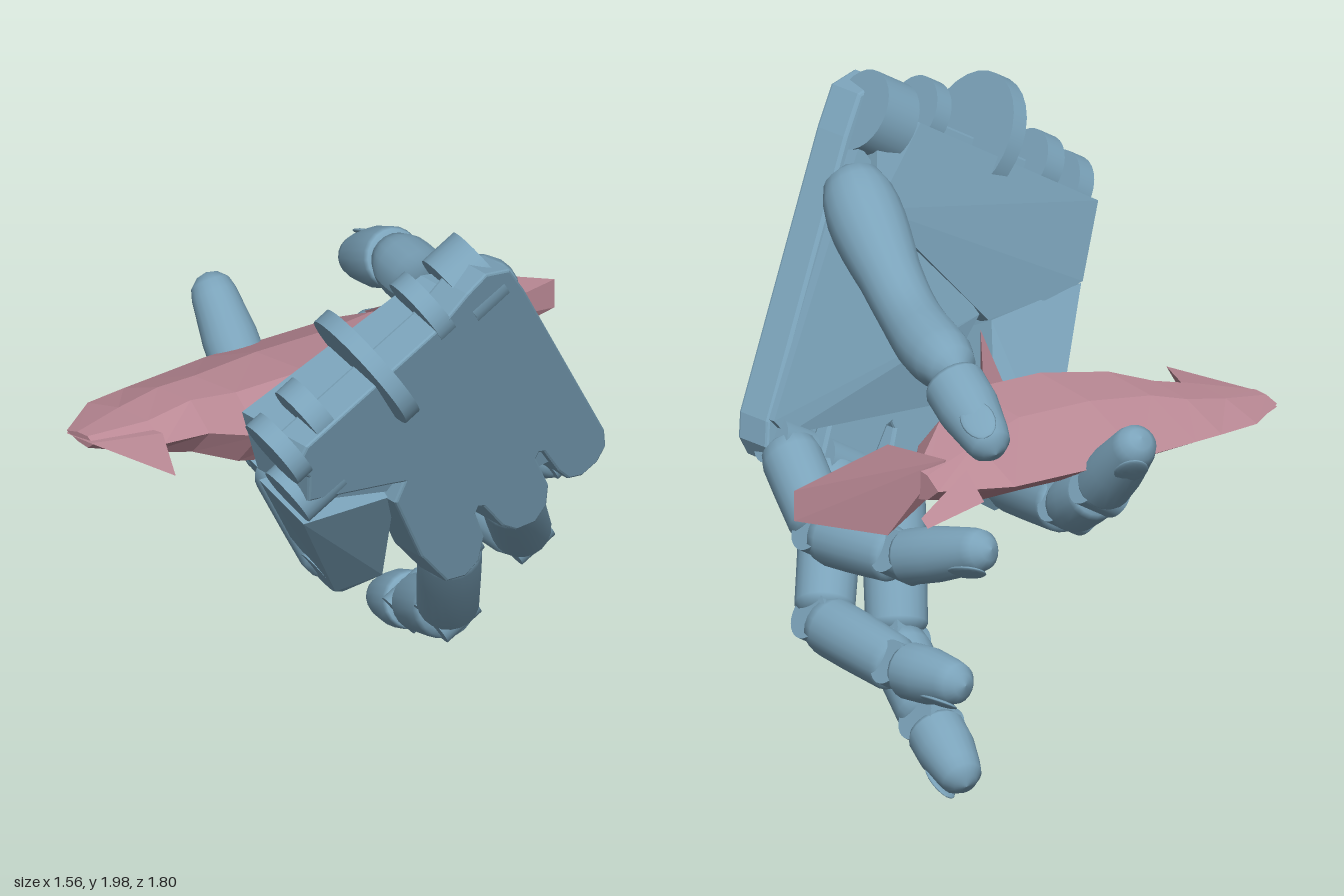
import * as THREE from 'three';
import { ConvexGeometry } from 'three/addons/geometries/ConvexGeometry.js';

const blue = new THREE.MeshStandardMaterial({ color: 0x7ba3ba });
const blueFlat = new THREE.MeshStandardMaterial({ color: 0x7ba3ba, flatShading: true });
const pink = new THREE.MeshStandardMaterial({ color: 0xb98894, flatShading: true, side: THREE.DoubleSide });
const V = (p) => new THREE.Vector3(...p);

// The back of the hand lies in a tilted plane: x as a function of z and y
const planeX = (z, y) => 0.274 + 0.25 * y - 0.06 * z;
const ACROSS = V([-0.18, -0.53, 0.85]).normalize();

function add(parent, name, geometry, material = blue) {
  const mesh = new THREE.Mesh(geometry, material);
  mesh.name = name;
  parent.add(mesh);
  return mesh;
}

function hull(parent, name, points, material = blueFlat) {
  return add(parent, name, new ConvexGeometry(points.map(V)), material);
}

// Disc or roller whose axis runs across the hand
function roller(parent, name, center, r, width) {
  const m = add(parent, name, new THREE.CylinderGeometry(r, r, width, 28));
  m.position.copy(V(center));
  m.quaternion.setFromUnitVectors(new THREE.Vector3(0, 1, 0), ACROSS);
}

// Rounded bone from a to b; tip = true makes a fingertip with a nail
function bone(parent, name, a, b, r0, r1, side = ACROSS, tip = false) {
  const A = V(a), dir = V(b).sub(A), L = dir.length();
  dir.normalize();
  const z = side.clone().cross(dir).normalize();
  const x = dir.clone().cross(z);
  const g = new THREE.Group();
  g.name = name;
  g.position.copy(A);
  g.quaternion.setFromRotationMatrix(new THREE.Matrix4().makeBasis(x, dir, z));
  parent.add(g);
  const e = tip ? r1 : r1 * 0.5, s = tip ? 0.02 : r0 * 0.5;
  const profile = [[0, -s], [r0 * 0.6, -s * 0.85], [r0 * 0.92, -s * 0.3], [r0, s * 0.5],
    [r0 * 0.96 + r1 * 0.04, L * 0.4], [r1, L - e * 0.6], [r1 * 0.86, L - e * 0.1],
    [r1 * 0.5, L + e * 0.25], [0, L + e * 0.4]];
  add(g, name + 'Shell', new THREE.LatheGeometry(profile.map((p) => new THREE.Vector2(...p)), 20));
  if (tip) {
    const nail = add(g, name + 'Nail', new THREE.SphereGeometry(1, 16, 10));
    nail.scale.set(r1 * 0.7, r1, 0.01);
    nail.position.set(0, L - r1 * 0.9, r1 * 0.97);
  }
}

// Finger: three bones joined by hinge rollers
function finger(parent, name, pts, r) {
  const g = new THREE.Group();
  g.name = name;
  parent.add(g);
  const radii = [r, r * 0.97, r * 0.92, r * 0.75];
  for (let i = 0; i < 3; i++) {
    const a = V(pts[i]), b = V(pts[i + 1]);
    const gap = b.clone().sub(a).normalize().multiplyScalar(0.03);
    bone(g, name + ['Base', 'Middle', 'Tip'][i], a.clone().add(gap).toArray(),
      i < 2 ? b.clone().sub(gap).toArray() : pts[3], radii[i], radii[i + 1], ACROSS, i === 2);
    roller(g, name + 'Hinge', pts[i], radii[i] * 0.8, r * 1.4);
  }
}

function buildPalm(root) {
  const palm = new THREE.Group();
  palm.name = 'palm';
  root.add(palm);

  // Back plate, outlined as (z, y), with rounded lobes for the knuckles
  const outline = [[0.25, 1.88], [0.19, 1.93], [0.1, 1.91], [0.02, 1.8], [-0.46, 1.04], [-0.48, 0.97],
    [-0.46, 0.92], [-0.41, 0.89], [-0.36, 0.9], [-0.31, 0.95], [-0.23, 1.06], [-0.2, 1.07], [-0.19, 1.04],
    [-0.27, 0.9], [-0.28, 0.82], [-0.25, 0.77], [-0.18, 0.77], [-0.12, 0.81], [-0.02, 0.93], [0.01, 0.94],
    [0.02, 0.91], [-0.04, 0.79], [-0.04, 0.7], [0.0, 0.66], [0.07, 0.67], [0.2, 0.82], [0.36, 1.1],
    [0.34, 1.18], [0.42, 1.2], [0.74, 1.27], [0.76, 1.37], [0.82, 1.44], [0.8, 1.5], [0.34, 1.78]];
  const shape = new THREE.Shape(outline.map(([z, y]) => new THREE.Vector2(-z, y)));
  const plate = new THREE.ExtrudeGeometry(shape, {
    depth: 0.11, bevelEnabled: true, bevelSize: 0.008, bevelThickness: 0.01, bevelSegments: 2,
  });
  plate.translate(0, 0, -0.12).rotateY(Math.PI / 2);
  plate.applyMatrix4(new THREE.Matrix4().set(1, 0.25, -0.06, 0.274, 0, 1, 0, 0, 0, 0, 1, 0, 0, 0, 0, 1));
  add(palm, 'backPlate', plate);

  // Thick wrist block and the inner palm pad
  const at = (z, y, d) => [planeX(z, y) - d, y, z];
  const block = (name, list) => hull(palm, name, list.flatMap(([z, y, d]) => [at(z, y, 0.02), at(z, y, d)]));
  block('wristBlock', [[0.22, 1.83, 0.24], [0.78, 1.48, 0.32], [0.7, 1.24, 0.28], [0.4, 1.15, 0.2],
    [0.03, 1.6, 0.2], [0.08, 1.82, 0.2]]);
  block('palmPad', [[0.03, 1.79, 0.17], [0.35, 1.2, 0.2], [0.15, 0.95, 0.14], [-0.18, 1.1, 0.14],
    [-0.42, 1.0, 0.15], [-0.46, 1.05, 0.15]]);

  // Wrist hinge lugs: z, y, inset, radius, width
  for (const [z, y, d, r, w] of [[0.14, 1.84, 0.13, 0.13, 0.13], [0.31, 1.8, 0.12, 0.12, 0.06],
    [0.71, 1.55, 0.12, 0.11, 0.07], [0.81, 1.45, 0.11, 0.12, 0.06]]) {
    roller(palm, 'wristLug', at(z, y, d), r, w);
  }
  roller(palm, 'wristDisc', at(0.53, 1.67, 0.09), 0.21, 0.055);

  // Folded outer-edge segment carrying the little finger
  hull(palm, 'outerPalm', [[0.29, 1.22, 0.72], [0.48, 1.14, 0.71], [0.31, 1.19, 0.36], [0.49, 1.1, 0.34],
    [0.06, 0.78, 0.38], [0.04, 0.72, 0.33], [0.21, 0.62, 0.3], [0.22, 0.64, 0.34], [0.12, 0.8, 0.2],
    [0.28, 0.67, 0.2], [0.18, 0.63, 0.25]]);
  roller(palm, 'outerPalmHinge', [0.45, 1.27, 0.67], 0.1, 0.16);
}

function buildThumb(root) {
  const thumb = new THREE.Group();
  thumb.name = 'thumb';
  root.add(thumb);

  // Smooth tube whose thickness swells at the joints
  const path = new THREE.CatmullRomCurve3([[0.57, 1.73, -0.01], [0.38, 1.6, -0.09], [0.1, 1.44, -0.2],
    [-0.08, 1.39, -0.27], [-0.3, 1.37, -0.34]].map(V));
  const segs = 32, sides = 18;
  const sizes = [0, 0.09, 0.112, 0.12, 0.12, 0.115, 0.108, 0.1, 0.097, 0.095, 0.095, 0.098, 0.102, 0.102, 0.097, 0.075, 0];
  const tube = new THREE.TubeGeometry(path, segs, 1, sides);
  const pos = tube.attributes.position, p = new THREE.Vector3();
  for (let i = 0; i < pos.count; i++) {
    const u = Math.floor(i / (sides + 1)) / segs;
    const c = path.getPointAt(u), k = u * (sizes.length - 1), f = Math.min(Math.floor(k), sizes.length - 2);
    const r = THREE.MathUtils.lerp(sizes[f], sizes[f + 1], k - f);
    p.fromBufferAttribute(pos, i).sub(c).multiplyScalar(r).add(c);
    pos.setXYZ(i, p.x, p.y, p.z);
  }
  tube.computeVertexNormals();
  add(thumb, 'thumbBase', tube);
  bone(thumb, 'thumbTip', [-0.27, 1.34, -0.35], [-0.51, 1.215, -0.415], 0.097, 0.075,
    V([0.45, -0.35, -0.74]).normalize(), true);
}

function buildFish(root) {
  const fish = new THREE.Group();
  fish.name = 'fish';
  root.add(fish);

  // Faceted body lofted along z: z, left x, right x, half height
  const sections = [[0.76, -0.54, -0.42, 0.02], [0.6, -0.62, -0.27, 0.055], [0.46, -0.61, -0.22, 0.09],
    [0.36, -0.6, -0.1, 0.12], [0.15, -0.58, 0.0, 0.15], [-0.1, -0.53, 0.05, 0.15],
    [-0.3, -0.49, -0.06, 0.12], [-0.5, -0.36, -0.24, 0.05]];
  const ring = [[0, 0], [0.4, 0.8], [0.78, 1], [1, 0.1], [0.8, -1], [0.4, -0.8]];
  const n = ring.length, pos = [], idx = [];
  for (const [z, l, r, h] of sections) for (const [u, v] of ring) pos.push(l + (r - l) * u, 1.05 + h * v, z);
  for (let s = 0; s < sections.length - 1; s++) {
    for (let i = 0; i < n; i++) {
      const a = s * n + i, b = s * n + (i + 1) % n;
      idx.push(a, b, a + n, b, b + n, a + n);
    }
  }
  const last = (sections.length - 1) * n;
  for (let i = 1; i < n - 1; i++) idx.push(0, i + 1, i, last, last + i, last + i + 1);
  const body = new THREE.BufferGeometry();
  body.setAttribute('position', new THREE.Float32BufferAttribute(pos, 3));
  body.setIndex(idx);
  body.computeVertexNormals();
  add(fish, 'fishBody', body, pink);

  // Hooked snout, upright tail and small fins
  hull(fish, 'snout', [[-0.54, 1.04, 0.76], [-0.42, 1.06, 0.77], [-0.1, 1.06, 0.71], [-0.28, 1.09, 0.6],
    [-0.3, 1.01, 0.62], [-0.6, 1.05, 0.62]], pink);
  hull(fish, 'tail', [[-0.31, 1.12, -0.42], [-0.26, 1.0, -0.42], [-0.24, 1.2, -0.6], [-0.24, 0.9, -0.6],
    [-0.14, 1.1, -0.9], [-0.14, 1.0, -0.9], [-0.2, 1.05, -0.5]], pink);
  hull(fish, 'rearFin', [[-0.48, 1.03, -0.42], [-0.33, 1.03, -0.42], [-0.45, 0.99, -0.63], [-0.41, 1.01, -0.62],
    [-0.38, 1.1, -0.4]], pink);
  hull(fish, 'upperFin', [[-0.1, 1.17, -0.06], [0.0, 1.15, 0.02], [0.0, 1.34, 0.02], [0.07, 1.2, 0.09],
    [-0.06, 1.17, 0.06]], pink);
  hull(fish, 'lowerFin', [[-0.1, 0.95, -0.06], [0.0, 0.96, 0.0], [0.07, 0.89, 0.08], [-0.08, 0.92, 0.06]], pink);
}

export function createModel() {
  const root = new THREE.Group();
  root.name = 'handHoldingFish';
  buildPalm(root);
  buildThumb(root);
  buildFish(root);
  finger(root, 'indexFinger', [[0.42, 0.95, -0.4], [0.14, 0.77, -0.51], [-0.22, 0.8, -0.52], [-0.57, 0.92, -0.5]], 0.095);
  finger(root, 'middleFinger', [[0.4, 0.84, -0.22], [0.14, 0.48, -0.51], [-0.27, 0.46, -0.565], [-0.54, 0.49, -0.58]], 0.097);
  finger(root, 'ringFinger', [[0.37, 0.74, 0.0], [0.14, 0.33, -0.2], [-0.15, 0.18, -0.33], [-0.365, 0.075, -0.4]], 0.1);
  finger(root, 'littleFinger', [[0.17, 0.72, 0.3], [-0.28, 0.81, 0.13], [-0.5, 0.95, 0.05], [-0.735, 1.19, -0.01]], 0.095);
  return root;
}
